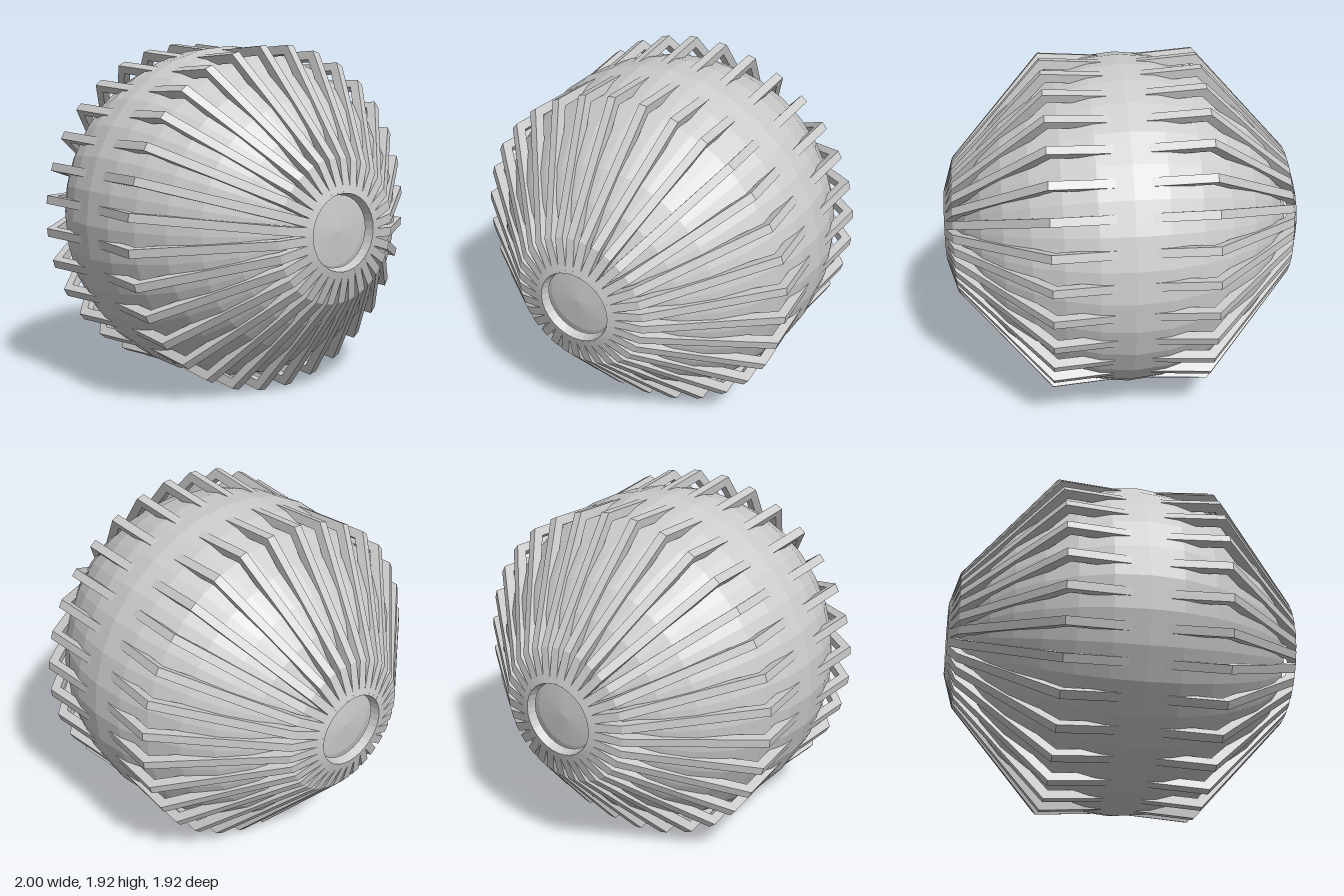
import * as THREE from 'three';

const COUNT = 32;        // ribs around the axis
const CENTER_Y = 0.9575; // height of the axis
const RIB_WIDTH = 0.047;

export function createModel() {
  const model = new THREE.Group();
  const material = new THREE.MeshStandardMaterial({ color: 0xcccccc, flatShading: true });

  const body = new THREE.Group();
  body.name = 'body';
  body.position.y = CENTER_Y;
  model.add(body);

  // Faceted core with its poles on the x axis
  const coreGeometry = new THREE.SphereGeometry(0.95, COUNT, 16);
  coreGeometry.rotateZ(-Math.PI / 2);
  const core = new THREE.Mesh(coreGeometry, material);
  core.name = 'core';
  body.add(core);

  // Bent rib bar: half profile as [x, radius], mirrored to the other end
  const outer = [[0, 0.93], [0.435, 0.96], [0.945, 0.385], [1.0, 0.205]];
  const inner = [[0.952, 0.19], [0.897, 0.36], [0.412, 0.908], [0, 0.88]];
  const mirror = (points) => points.map(([x, r]) => [-x, r]).reverse();
  const profile = [
    ...outer, ...inner,
    ...mirror(inner).slice(1), ...mirror(outer).slice(0, -1),
  ];
  const shape = new THREE.Shape(profile.map(([x, r]) => new THREE.Vector2(x, r)));
  const ribGeometry = new THREE.ExtrudeGeometry(shape, { depth: RIB_WIDTH, bevelEnabled: false });
  ribGeometry.translate(0, 0, -RIB_WIDTH / 2);

  // Ribs sit over the middle of the core's facets
  const ribs = new THREE.Group();
  ribs.name = 'ribs';
  for (let i = 0; i < COUNT; i++) {
    const rib = new THREE.Mesh(ribGeometry, material);
    rib.name = 'rib';
    rib.rotation.x = ((i + 0.5) / COUNT) * Math.PI * 2;
    ribs.add(rib);
  }
  body.add(ribs);

  return model;
}
